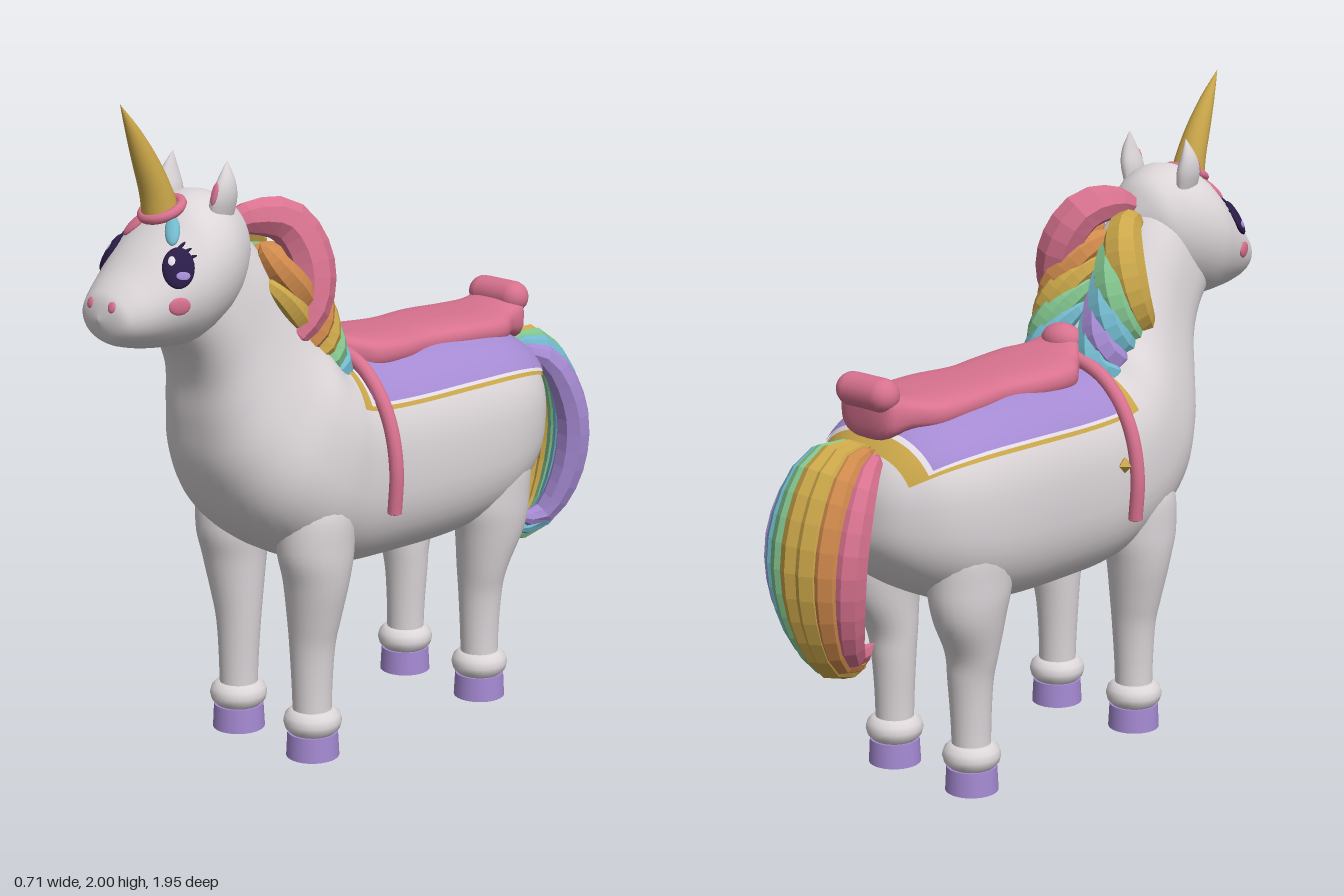
import * as THREE from 'three';

const mat = (name, color) => new THREE.MeshStandardMaterial({ name, color });

// Section row: [topZ, topY, bottomZ, bottomY, halfWidth, centreX]; rows are joined by a smooth spline.
const BODY = [
  [-0.72, 0.92, -0.72, 0.87, 0], [-0.70, 0.99, -0.70, 0.78, 0.12], [-0.66, 1.06, -0.64, 0.70, 0.2],
  [-0.58, 1.125, -0.55, 0.63, 0.27], [-0.45, 1.165, -0.42, 0.57, 0.31], [-0.25, 1.175, -0.25, 0.54, 0.315],
  [0, 1.17, 0, 0.535, 0.3], [0.15, 1.18, 0.2, 0.55, 0.3], [0.2, 1.2, 0.38, 0.62, 0.305],
  [0.235, 1.25, 0.53, 0.74, 0.285], [0.27, 1.3, 0.62, 0.9, 0.24], [0.31, 1.36, 0.645, 1.05, 0.205],
  [0.37, 1.45, 0.655, 1.17, 0.18], [0.44, 1.55, 0.69, 1.26, 0.165], [0.5, 1.62, 0.75, 1.33, 0.15],
];
const HEAD = [
  [0.46, 1.57, 0.46, 1.57, 0], [0.5, 1.67, 0.5, 1.47, 0.1], [0.55, 1.715, 0.55, 1.385, 0.15],
  [0.62, 1.735, 0.62, 1.335, 0.187], [0.7, 1.715, 0.7, 1.305, 0.2], [0.76, 1.665, 0.76, 1.305, 0.19],
  [0.82, 1.61, 0.82, 1.31, 0.17], [0.88, 1.55, 0.88, 1.32, 0.145], [0.93, 1.505, 0.93, 1.335, 0.115],
  [0.96, 1.47, 0.96, 1.36, 0.08], [0.975, 1.415, 0.975, 1.41, 0],
];

// Point on a lofted surface at row position u and angle a (0 = top, positive toward +x)
function sample(rows, u, a, e = 1) {
  const n = rows.length - 1, i = Math.min(Math.floor(u), n - 1), t = u - i;
  const r = (k, c) => rows[Math.max(0, Math.min(n, k))][c] ?? 0;
  const [zt, yt, zb, yb, w, x] = [0, 1, 2, 3, 4, 5].map((c) => {
    const p = r(i - 1, c), q = r(i, c), s = r(i + 1, c), v = r(i + 2, c);
    return q + 0.5 * t * (s - p + t * (2 * p - 5 * q + 4 * s - v + t * (3 * (q - s) + v - p)));
  });
  const pw = (k) => Math.sign(k) * Math.abs(k) ** e;
  const c = pw(Math.cos(a)), s = pw(Math.sin(a));
  return new THREE.Vector3(x + s * w, (yt + yb) / 2 + c * (yt - yb) / 2, (zt + zb) / 2 + c * (zt - zb) / 2);
}

function normalAt(rows, u, a, e) {
  const d = 0.02, p = sample(rows, u - d, a, e), q = sample(rows, u + d, a, e);
  const l = sample(rows, u, a - d, e), m = sample(rows, u, a + d, e);
  return q.sub(p).cross(m.sub(l)).normalize();
}

function gridGeometry(nu, na, wrap, point) {
  const pos = [], idx = [], cols = wrap ? na : na + 1;
  for (let i = 0; i <= nu; i++) for (let j = 0; j < cols; j++) pos.push(...point(i / nu, j / na).toArray());
  for (let i = 0; i < nu; i++) for (let j = 0; j < na; j++) {
    const k = (j + 1) % cols, a = i * cols + j, b = a + cols, c = i * cols + k, d = c + cols;
    idx.push(a, b, c, b, d, c);
  }
  const g = new THREE.BufferGeometry();
  g.setAttribute('position', new THREE.Float32BufferAttribute(pos, 3));
  g.setIndex(idx);
  g.computeVertexNormals();
  return g;
}

const loft = (rows, e = 1, segs = 32) => gridGeometry((rows.length - 1) * 5, segs, true,
  (u, v) => sample(rows, u * (rows.length - 1), v * Math.PI * 2, e));

// Cloth patch lying just above the body
const patch = (u0, u1, a, lift) => gridGeometry(48, 32, false, (u, v) => {
  const U = u0 + (u1 - u0) * u, A = (v * 2 - 1) * a + 1e-4;
  return sample(BODY, U, A, 0.8).addScaledVector(normalAt(BODY, U, A, 0.8), lift);
});

// Faceted hair lock: a tube swelling in the middle and closing at both ends
function lockGeometry(points, r) {
  const curve = new THREE.CatmullRomCurve3(points.map((p) => new THREE.Vector3(...p)));
  const n = 14, sides = 8, g = new THREE.TubeGeometry(curve, n, r, sides), p = g.attributes.position;
  const v = new THREE.Vector3();
  for (let k = 0; k < p.count; k++) {
    const t = Math.floor(k / (sides + 1)) / n, c = curve.getPointAt(t);
    v.fromBufferAttribute(p, k).sub(c).multiplyScalar(Math.sin(Math.PI * t) ** 0.45).add(c);
    p.setXYZ(k, v.x, v.y, v.z);
  }
  const flat = g.toNonIndexed();
  flat.computeVertexNormals();
  return flat;
}

export function createModel() {
  const model = new THREE.Group();
  model.name = 'unicorn';
  const white = mat('coat white', 0xdcd6d9), pink = mat('pink', 0xd8728f), gold = mat('gold', 0xcba74a);
  const orange = mat('orange', 0xd08a4c), green = mat('green', 0x82c48e), teal = mat('teal', 0x72b8cc);
  const purple = mat('purple', 0xa58ad2), dark = mat('eye dark', 0x2a1c48), trim = mat('trim white', 0xe6e0ea);
  const add = (name, geometry, material, x = 0, y = 0, z = 0) => {
    const m = new THREE.Mesh(geometry, material);
    m.name = name;
    m.position.set(x, y, z);
    model.add(m);
    return m;
  };
  const ball = new THREE.SphereGeometry(1, 20, 14);

  add('body', loft(BODY, 0.8, 48), white);
  add('head', loft(HEAD), white);

  // Legs, cuffs and hooves
  for (const s of [1, -1]) for (const front of [true, false]) {
    const z = front ? 0.325 : -0.4, b = front ? 0.11 : 0.15, name = front ? 'front' : 'rear';
    add(name + 'Leg', loft([
      [z - 0.058, 0.06, z + 0.058, 0.06, 0.058, s * 0.165], [z - 0.06, 0.2, z + 0.06, 0.2, 0.06, s * 0.163],
      [z - 0.068, 0.34, z + 0.065, 0.34, 0.07, s * 0.163], [z - 0.08, 0.43, z + 0.075, 0.43, 0.083, s * 0.17],
      [z - b + 0.01, 0.55, z + 0.095, 0.55, 0.1, s * 0.18], [z - b - 0.01, 0.66, z + 0.12, 0.66, 0.11, s * 0.18],
      [z - b, 0.8, z + 0.1, 0.8, 0.1, s * 0.18], [z, 0.86, z, 0.86, 0, s * 0.18],
    ], 1, 24), white);
    add(name + 'Cuff', new THREE.TorusGeometry(0.047, 0.041, 12, 28).rotateX(Math.PI / 2), white, s * 0.165, 0.11, z);
    add(name + 'Hoof', new THREE.CylinderGeometry(0.076, 0.08, 0.075, 28), purple, s * 0.165, 0.0375, z);
  }

  // Blanket: gold border, white piping, purple centre
  add('blanketBorder', patch(2, 7.6, 1.03, 0.006), gold);
  add('blanketPiping', patch(2.6, 7.2, 0.985, 0.01), trim);
  add('blanketCentre', patch(2.75, 7.08, 0.95, 0.014), purple);

  // Saddle seat, rear roll, pommel and strap
  add('saddleSeat', loft([
    [-0.67, 1.22, -0.67, 1.2, 0], [-0.655, 1.25, -0.655, 1.1, 0.1], [-0.58, 1.225, -0.58, 1.11, 0.125],
    [-0.5, 1.215, -0.5, 1.11, 0.165], [-0.35, 1.22, -0.35, 1.12, 0.168], [-0.2, 1.22, -0.2, 1.12, 0.15],
    [-0.08, 1.225, -0.08, 1.12, 0.168], [0.04, 1.235, 0.04, 1.12, 0.17], [0.1, 1.245, 0.1, 1.13, 0.13],
    [0.16, 1.27, 0.16, 1.15, 0.08], [0.21, 1.27, 0.21, 1.2, 0.045], [0.22, 1.23, 0.22, 1.23, 0],
  ], 0.75), pink);
  add('saddleRoll', new THREE.CapsuleGeometry(0.05, 0.12, 8, 16).rotateZ(Math.PI / 2), pink, 0, 1.232, -0.645);
  add('saddlePommel', ball, pink, 0, 1.25, 0.165).scale.set(0.07, 0.05, 0.055);
  const half = [[0.325, 0.75], [0.332, 0.88], [0.31, 1.0], [0.265, 1.09], [0.19, 1.165], [0.09, 1.205]];
  const arch = [...half, [0, 1.215], ...half.map(([x, y]) => [-x, y]).reverse()];
  const strapCurve = new THREE.CatmullRomCurve3(arch.map(([x, y]) => new THREE.Vector3(x, y, 0.142)));
  add('saddleStrap', new THREE.TubeGeometry(strapCurve, 64, 0.022, 12), pink);
  for (const s of [1, -1]) {
    add('strapEnd', ball, pink, s * 0.325, 0.752, 0.142).scale.set(0.022, 0.008, 0.022);
    add('strapBuckle', new THREE.OctahedronGeometry(0.025), gold, s * 0.305, 0.92, 0.115);
  }

  // Horn with its ring and forelock petals
  add('horn', loft([
    [0.685, 1.67, 0.795, 1.67, 0.054], [0.708, 1.74, 0.805, 1.74, 0.048], [0.752, 1.83, 0.832, 1.83, 0.037],
    [0.812, 1.92, 0.858, 1.92, 0.021], [0.88, 2.0, 0.88, 2.0, 0],
  ], 1, 20), gold);
  add('hornRing', new THREE.TorusGeometry(0.058, 0.015, 10, 28).rotateX(Math.PI / 2 + 0.4), pink, 0, 1.692, 0.737);
  // Puts a flattened ball on the head surface
  const onHead = (name, material, u, a, sx, sy, sz, roll = 0, lift = 0) => {
    const p = sample(HEAD, u, a), n = normalAt(HEAD, u, a), m = add(name, ball, material);
    m.position.copy(p).addScaledVector(n, lift);
    m.lookAt(m.position.clone().add(n));
    m.rotateZ(roll);
    m.scale.set(sx, sy, sz);
    return m;
  };
  onHead('forelockPetal', teal, 5.1, 0.42, 0.022, 0.05, 0.014, 0.3);
  onHead('forelockPetal', pink, 5.1, -0.42, 0.026, 0.05, 0.014, -0.3);

  // Face and ears
  for (const s of [1, -1]) {
    onHead('eye', dark, 5.75, s * 0.97, 0.045, 0.06, 0.016);
    onHead('eyeIris', purple, 5.72, s * 1.14, 0.02, 0.014, 0.004, 0, 0.013);
    onHead('eyeHighlight', trim, 5.85, s * 0.83, 0.012, 0.016, 0.004, 0, 0.013);
    for (const k of [0, 1, 2]) onHead('eyelash', dark, 5.3 - k * 0.06, s * (0.72 + k * 0.12), 0.022, 0.005, 0.006, s * (0.9 - k * 0.3));
    onHead('cheek', pink, 6.05, s * 1.6, 0.032, 0.025, 0.008);
    onHead('nostril', pink, 9.1, s * 0.68, 0.013, 0.016, 0.006);
    add('ear', loft([
      [0.57, 1.67, 0.655, 1.67, 0.022, s * 0.108], [0.565, 1.72, 0.655, 1.72, 0.028, s * 0.115],
      [0.575, 1.77, 0.635, 1.77, 0.02, s * 0.12], [0.595, 1.825, 0.597, 1.825, 0, s * 0.115],
    ], 1, 16), white);
    const inner = add('innerEar', ball, pink, s * 0.119, 1.737, 0.647);
    inner.scale.set(0.012, 0.032, 0.006);
    inner.rotation.x = -0.3;
  }
  const mouth = add('mouth', new THREE.TorusGeometry(0.024, 0.004, 6, 16, Math.PI).rotateZ(Math.PI), pink, 0, 1.39, 0.965);
  mouth.rotation.x = 0.5;

  // Mane: nested locks sweeping down each side of the neck
  add('maneLock', lockGeometry([[0.0, 1.6, 0.53], [0.03, 1.63, 0.44], [0.07, 1.61, 0.33], [0.12, 1.5, 0.285],
    [0.15, 1.37, 0.31], [0.155, 1.26, 0.41]], 0.07), pink);
  add('maneLock', lockGeometry([[-0.03, 1.58, 0.48], [-0.06, 1.57, 0.38], [-0.11, 1.48, 0.32], [-0.15, 1.36, 0.32],
    [-0.15, 1.25, 0.4]], 0.065), gold);
  const sides = [[1, [orange, gold, green, teal]], [-1, [green, teal, purple, teal]]];
  for (const [s, colours] of sides) colours.forEach((c, i) => {
    const d = i * 0.066, f = i * 0.026;
    add('maneLock', lockGeometry([[s * 0.02, 1.54 - d, 0.43 - f * 1.8], [s * 0.07, 1.48 - d, 0.31 - f],
      [s * 0.12, 1.38 - d, 0.265 - f], [s * 0.145, 1.3 - d * 0.7, 0.285 - f], [s * 0.145, 1.23 - d * 0.4, 0.37 - f]], 0.056), c);
  });
  add('maneInnerLock', lockGeometry([[0.11, 1.57, 0.47], [0.14, 1.5, 0.43], [0.15, 1.42, 0.36], [0.14, 1.34, 0.3]], 0.05), orange);
  add('maneInnerLock', lockGeometry([[0.13, 1.47, 0.48], [0.15, 1.42, 0.43], [0.15, 1.34, 0.36], [0.13, 1.27, 0.3]], 0.045), gold);

  // Tail: a fan of curling locks
  [pink, orange, gold, gold, green, teal, purple].forEach((c, i) => {
    const k = (i - 3) / 3, m = 1 - k * k;
    add('tailLock', lockGeometry([[k * 0.05, 1.06 + 0.02 * m, -0.65], [k * 0.11, 1.02 + 0.04 * m, -0.76 - 0.05 * m],
      [k * 0.14, 0.83, -0.85 - 0.065 * m], [k * 0.12, 0.62, -0.845 - 0.055 * m],
      [k * 0.075, 0.49 - 0.04 * m, -0.78 - 0.03 * m], [k * 0.05, 0.5 - 0.09 * m, -0.68]], 0.055), c);
  });
  return model;
}
